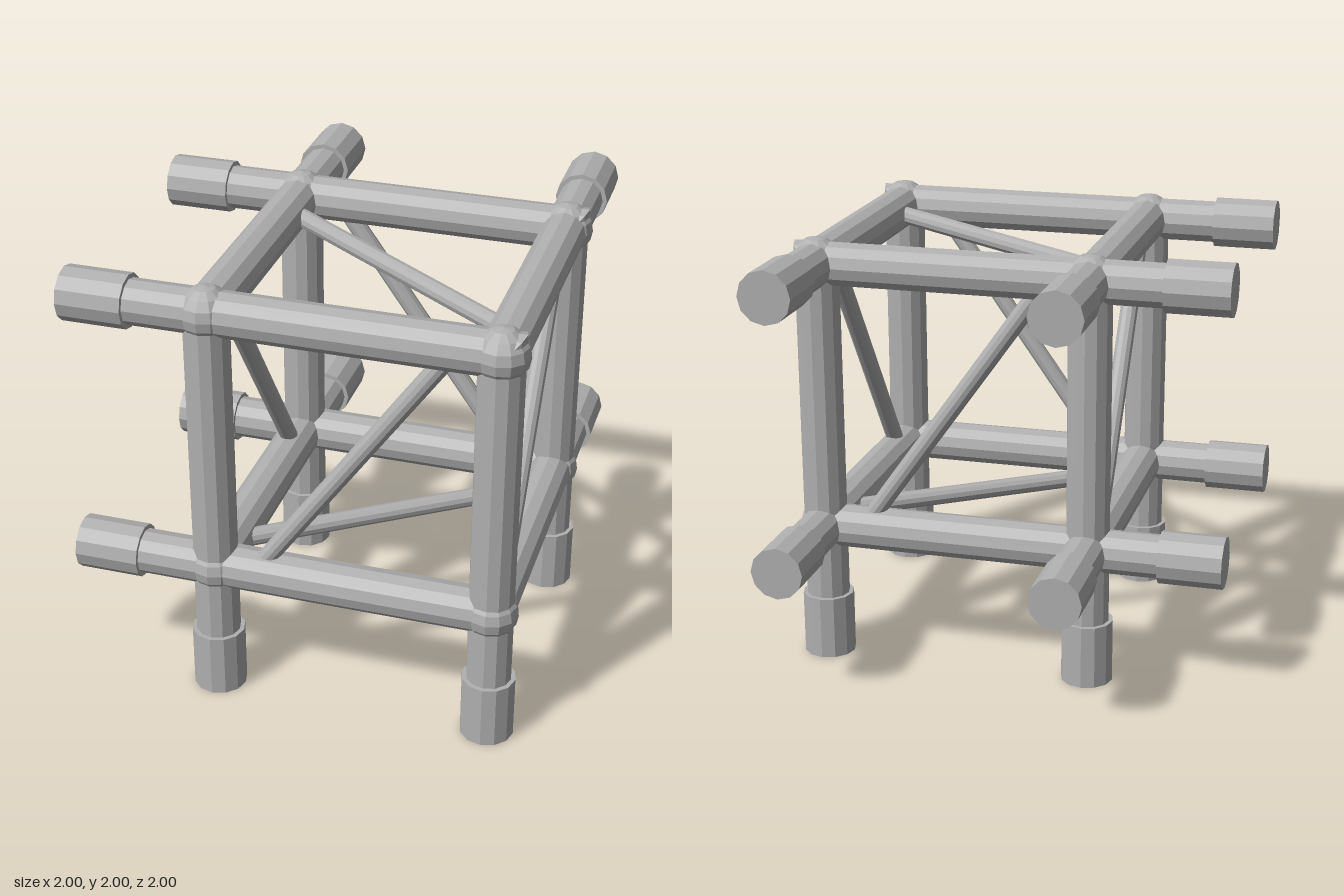
import * as THREE from 'three';

// Frame node coordinates: x and z share the same two values
const NEAR = 0.875, FAR = -0.375, LOW = 0.635, HIGH = 1.88;
const TUBE_R = 0.1, SOCKET_R = 0.12, BRACE_R = 0.042;

export function createModel() {
  const model = new THREE.Group();
  model.name = 'trussCorner';
  const metal = new THREE.MeshStandardMaterial({ color: 0xb0b0b0 });
  metal.name = 'grey metal';

  function add(geometry, name) {
    const flat = geometry.toNonIndexed();
    flat.computeVertexNormals(); // faceted normals
    const mesh = new THREE.Mesh(flat, metal);
    mesh.name = name;
    model.add(mesh);
  }

  // Straight round bar from a to b; rule(v) may reshape its vertices
  function bar(name, a, b, radius, rule) {
    const start = new THREE.Vector3(...a), end = new THREE.Vector3(...b);
    const dir = end.clone().sub(start);
    const g = new THREE.CylinderGeometry(radius, radius, dir.length(), 12);
    g.applyQuaternion(new THREE.Quaternion().setFromUnitVectors(
      new THREE.Vector3(0, 1, 0), dir.normalize()));
    const mid = start.add(end).multiplyScalar(0.5);
    g.translate(mid.x, mid.y, mid.z);
    if (rule) {
      const p = g.attributes.position, v = new THREE.Vector3();
      for (let i = 0; i < p.count; i++) {
        rule(v.fromBufferAttribute(p, i));
        p.setXYZ(i, v.x, v.y, v.z);
      }
    }
    add(g, name);
  }

  // 45 degree mitres where the top rails meet the +x posts
  const mitreRail = v => { if (v.x > 0.8) v.x = NEAR + v.y - HIGH; };
  const mitrePost = v => { if (v.y > 1.8) v.y = HIGH + v.x - NEAR; };

  for (const s of [FAR, NEAR]) {
    // Horizontal rails with end sockets
    for (const y of [LOW, HIGH]) {
      bar('crossRail', [-0.95, y, s], [NEAR, y, s], TUBE_R, y === HIGH ? mitreRail : null);
      bar('crossSocket', [-1, y, s], [-0.71, y, s], SOCKET_R);
      bar('depthRail', [s, y, -0.95], [s, y, NEAR], TUBE_R);
      bar('depthSocket', [s, y, -1], [s, y, -0.71], SOCKET_R);
    }
    // Upright posts with foot sockets, and ball joints at the nodes
    for (const z of [FAR, NEAR]) {
      bar('post', [s, 0.05, z], [s, HIGH, z], TUBE_R, s === NEAR ? mitrePost : null);
      bar('footSocket', [s, 0, z], [s, 0.295, z], SOCKET_R);
      for (const y of [LOW, HIGH]) {
        const ball = new THREE.SphereGeometry(SOCKET_R, 12, 8);
        ball.translate(s, y, z);
        add(ball, 'cornerBall');
      }
    }
  }

  // One diagonal brace on each face of the cube
  const P = 0.69, Q = -0.19;
  bar('frontBrace', [Q, LOW, NEAR], [P, HIGH, NEAR], BRACE_R);
  bar('backBrace', [P, LOW, FAR], [Q, HIGH, FAR], BRACE_R);
  bar('leftBrace', [NEAR, LOW, P], [NEAR, HIGH, Q], BRACE_R);
  bar('rightBrace', [FAR, LOW, Q], [FAR, HIGH, P], BRACE_R);
  bar('topBrace', [FAR, HIGH, Q], [NEAR, HIGH, P], BRACE_R);
  bar('bottomBrace', [FAR, LOW, P], [NEAR, LOW, Q], BRACE_R);

  return model;
}
